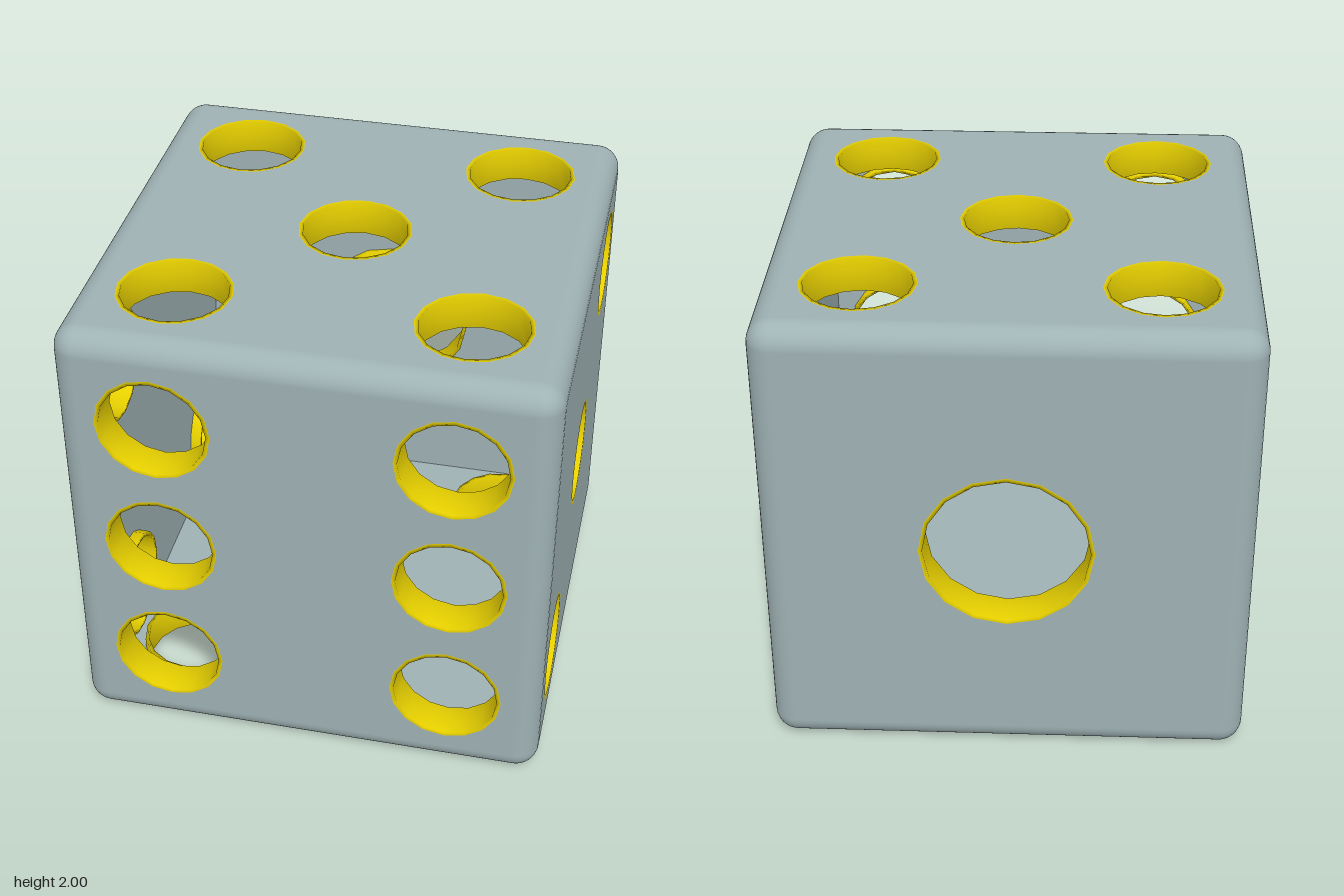
import * as THREE from 'three';
import { RoundedBoxGeometry } from 'three/addons/geometries/RoundedBoxGeometry.js';

const HALF = 1, CORNER = 0.1, WALL = 0.1, SIDES = 16;
const FLAT = HALF - CORNER, INNER = HALF - WALL;
const SMALL = 0.237, LARGE = 0.357, D = 0.6;
const RING_DEPTH = 0.15, RING_THICKNESS = 0.017;

const grey = new THREE.MeshStandardMaterial({ color: 0x9fb2b4 });
const yellow = new THREE.MeshStandardMaterial({ color: 0xe6cf00 });

function mesh(geometry, material, name) {
  const m = new THREE.Mesh(geometry, material);
  m.name = name;
  return m;
}

// Rounded edges and corners only: a rounded box with its flat middles removed
function edgeGeometry() {
  const box = new RoundedBoxGeometry(2 * HALF, 2 * HALF, 2 * HALF, 5, CORNER);
  const source = box.index ? box.toNonIndexed() : box;
  const p = source.attributes.position, n = source.attributes.normal;
  const positions = [], normals = [];
  for (let i = 0; i < p.count; i += 3) {
    const centre = ['getX', 'getY', 'getZ'].map(
      (get) => Math.abs(p[get](i) + p[get](i + 1) + p[get](i + 2)) / 3);
    if (centre.filter((c) => c < FLAT - 0.001).length === 2 && Math.max(...centre) > HALF - 0.0001) continue;
    for (let j = i; j < i + 3; j++) {
      positions.push(p.getX(j), p.getY(j), p.getZ(j));
      normals.push(n.getX(j), n.getY(j), n.getZ(j));
    }
  }
  const g = new THREE.BufferGeometry();
  g.setAttribute('position', new THREE.Float32BufferAttribute(positions, 3));
  g.setAttribute('normal', new THREE.Float32BufferAttribute(normals, 3));
  return g;
}

// Square panel with a round hole for every pip
function panelGeometry(half, pips, radius, mirror) {
  const shape = new THREE.Shape([
    new THREE.Vector2(-half, -half), new THREE.Vector2(half, -half),
    new THREE.Vector2(half, half), new THREE.Vector2(-half, half),
  ]);
  for (const [u, v] of pips) {
    const ring = [];
    for (let i = 0; i < SIDES; i++) {
      const a = (-i / SIDES) * Math.PI * 2;
      ring.push(new THREE.Vector2(u * mirror + radius * Math.cos(a), v + radius * Math.sin(a)));
    }
    shape.holes.push(new THREE.Path(ring));
  }
  return new THREE.ShapeGeometry(shape);
}

// Thin ring with soft shading: flush with the outer panel, standing proud inside
function liningGeometry(radius) {
  const bore = radius - RING_THICKNESS;
  const profile = [
    [radius, 0], [bore, 0], [bore, -RING_DEPTH / 2], [bore, -RING_DEPTH], [radius, -RING_DEPTH], [radius, -WALL],
  ].map(([r, y]) => new THREE.Vector2(r, y));
  return new THREE.LatheGeometry(profile, SIDES).rotateX(Math.PI / 2);
}

function createFace({ name, rotation, pips, radius = SMALL }) {
  const face = new THREE.Group();
  face.name = name;

  const outer = mesh(panelGeometry(FLAT, pips, radius, 1), grey, 'outerPanel');
  outer.position.z = HALF;
  const inner = mesh(panelGeometry(INNER, pips, radius, -1).rotateY(Math.PI), grey, 'innerPanel');
  inner.position.z = INNER;
  face.add(outer, inner);

  const lining = liningGeometry(radius);
  for (const [u, v] of pips) {
    const ring = mesh(lining, yellow, 'pipLining');
    ring.position.set(u, v, HALF);
    face.add(ring);
  }
  face.rotation.set(...rotation);
  return face;
}

export function createModel() {
  const model = new THREE.Group();
  model.name = 'hollowDie';
  const body = new THREE.Group();
  body.name = 'body';
  body.position.y = HALF;
  model.add(body);

  // Pip layouts, in each face's own plane
  const rising = [[-D, -D], [D, D]];
  const falling = [[-D, D], [D, -D]];
  const four = [...rising, ...falling];
  const Q = Math.PI / 2;
  const faces = [
    { name: 'frontFace', rotation: [0, 0, 0], pips: [...four, [-D, 0], [D, 0]] },
    { name: 'backFace', rotation: [0, 2 * Q, 0], pips: [[0, 0]], radius: LARGE },
    { name: 'leftFace', rotation: [0, Q, 0], pips: [...rising, [0, 0]] },
    { name: 'rightFace', rotation: [0, -Q, 0], pips: four },
    { name: 'topFace', rotation: [-Q, 0, 0], pips: [...four, [0, 0]] },
    { name: 'bottomFace', rotation: [Q, 0, 0], pips: falling },
  ];
  for (const face of faces) body.add(createFace(face));

  body.add(mesh(edgeGeometry(), grey, 'roundedEdges'));
  return model;
}
